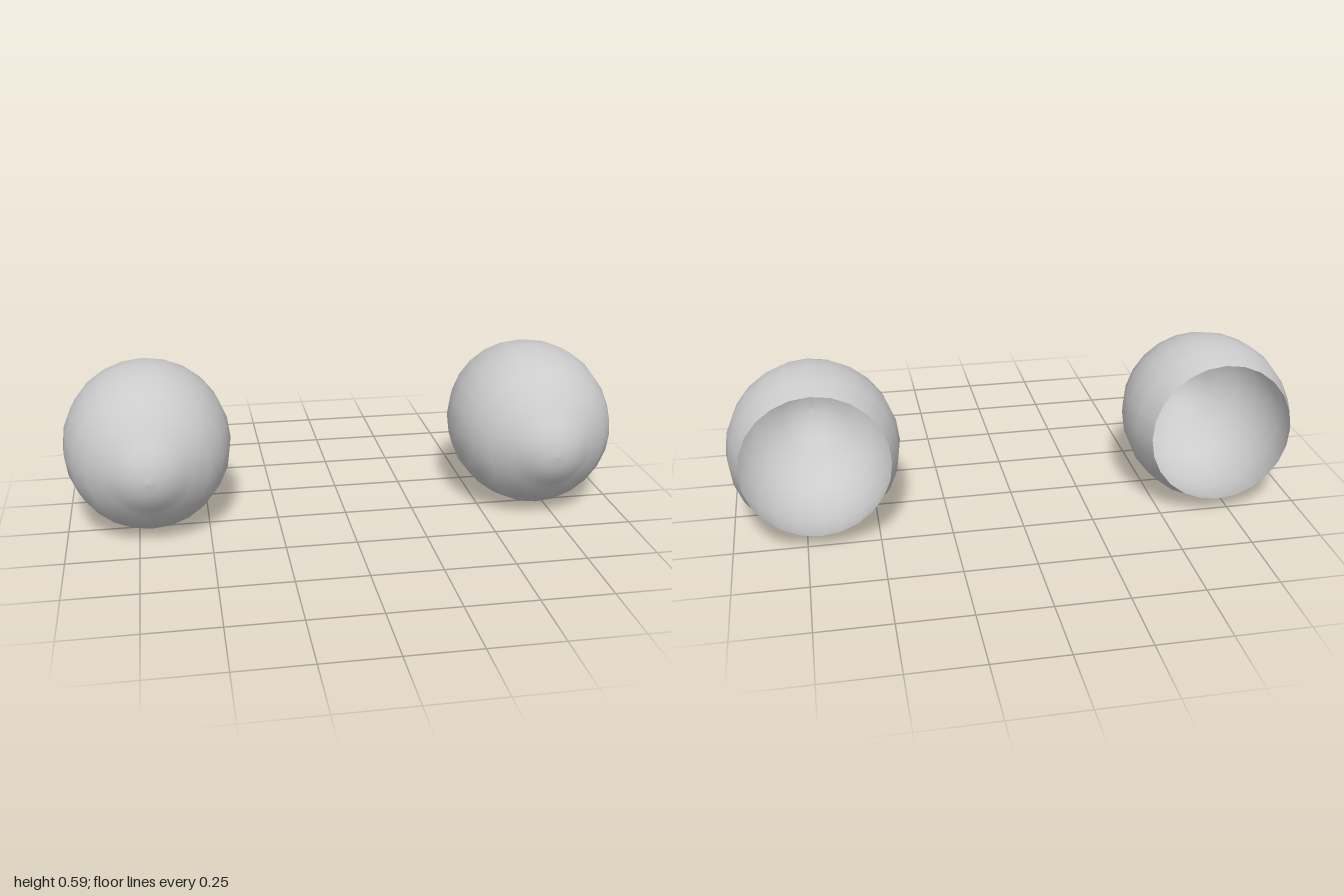
import * as THREE from 'three';

// Eye profile from the open back rim to the tip of the cornea: [radius, distance along the axis]
const PROFILE = [
  [0.253, -0.179], [0.284, -0.092], [0.296, 0], [0.287, 0.09], [0.259, 0.178],
  [0.21, 0.242], [0.148, 0.288], [0.123, 0.304], // end of the eyeball, start of the cornea
  [0.1, 0.324], [0.068, 0.341], [0.036, 0.352], [0, 0.356],
];

export function createModel() {
  const group = new THREE.Group();
  group.name = 'eyes';

  const material = new THREE.MeshStandardMaterial({ color: 0xcccccc, side: THREE.DoubleSide });
  const points = PROFILE.map(([r, a]) => new THREE.Vector2(r, a));
  const geometry = new THREE.LatheGeometry(points, 24);
  geometry.rotateX(Math.PI / 2); // the lathe axis points forward

  // Two open-backed eyes, looking slightly down
  for (const [name, side] of [['leftEye', 1], ['rightEye', -1]]) {
    const eye = new THREE.Mesh(geometry, material);
    eye.name = name;
    eye.position.set(side * 0.704, 0.299, -0.083);
    eye.rotation.x = 0.045;
    group.add(eye);
  }
  return group;
}
